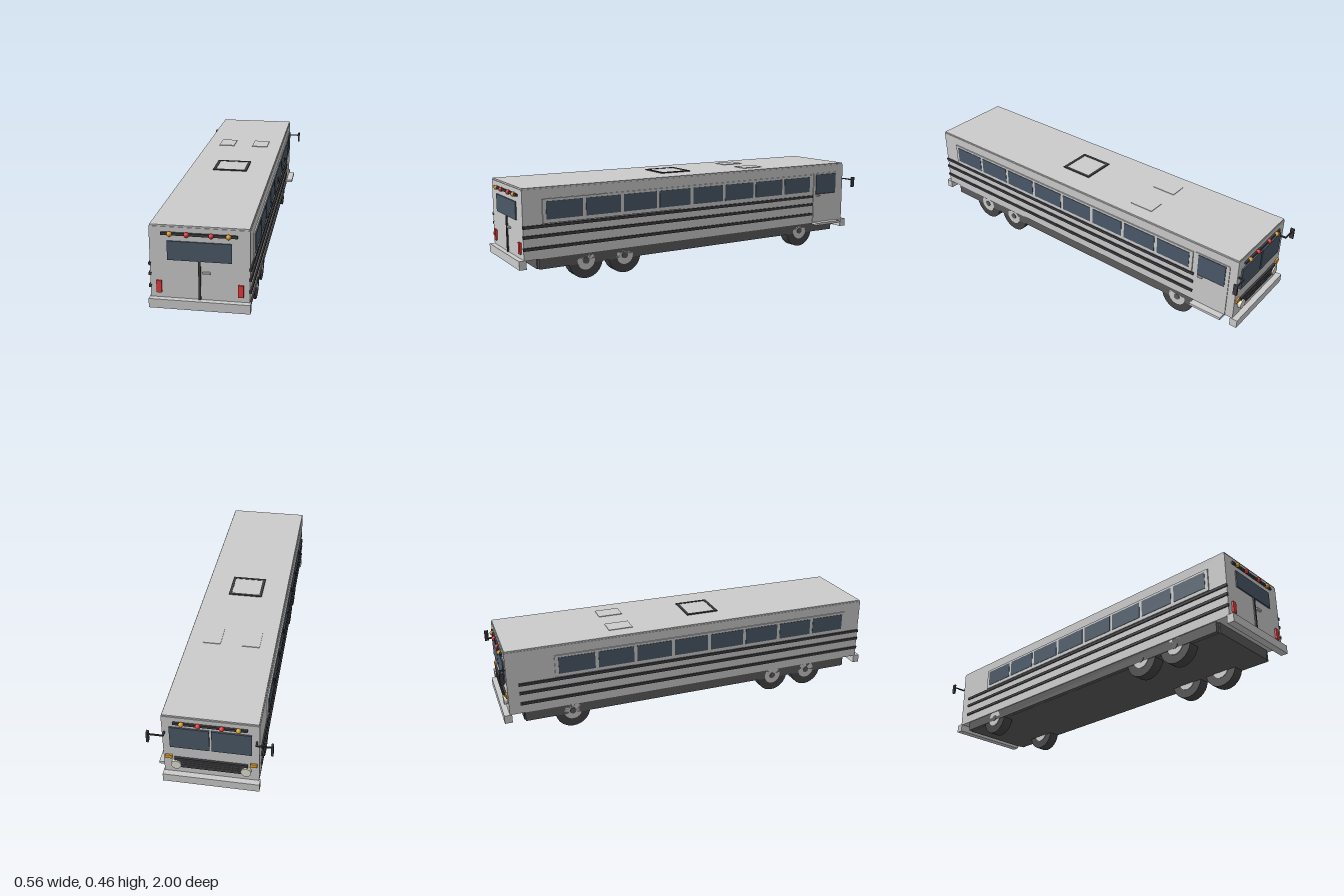
import * as THREE from 'three';

const mat = (color) => new THREE.MeshStandardMaterial({ color });

export function createModel() {
  const bus = new THREE.Group();
  const grey = mat(0xcccccc), trim = mat(0x3c3c40), under = mat(0x5c5c5c), tyre = mat(0x464648);
  const glass = mat(0x4a5968), red = mat(0xe83a3a), amber = mat(0xe0a030), lamp = mat(0xe0e0d0);

  function add(name, geometry, material, x = 0, y = 0, z = 0) {
    const mesh = new THREE.Mesh(geometry, material);
    mesh.name = name;
    mesh.position.set(x, y, z);
    bus.add(mesh);
    return mesh;
  }
  // Box given by its limits on each axis
  const box = (name, m, x0, x1, y0, y1, z0, z1) => add(name,
    new THREE.BoxGeometry(Math.abs(x1 - x0), y1 - y0, z1 - z0), m, (x0 + x1) / 2, (y0 + y1) / 2, (z0 + z1) / 2);

  // Shell, roof, chassis and bumpers
  box('body', grey, -0.215, 0.215, 0.125, 0.452, -0.965, 0.975);
  box('roof', grey, -0.212, 0.212, 0.452, 0.459, -0.962, 0.972);
  box('chassis', under, -0.19, 0.19, 0.073, 0.125, -0.895, 0.906);
  box('rearBumper', grey, -0.22, 0.22, 0.085, 0.127, 0.965, 1.0);
  box('frontBumper', grey, -0.22, 0.22, 0.085, 0.127, -0.993, -0.955);

  // Sides: skirts, stripes and window rows
  for (const s of [-1, 1]) {
    box('skirt', under, s * 0.185, s * 0.21, 0.074, 0.125, -0.89, 0.9);
    box('windowPanel', grey, s * 0.21, s * 0.221, 0.29, 0.405, -0.73, 0.88);
    for (const y of [0.177, 0.233, 0.279])
      box('sideStripe', trim, s * 0.21, s * 0.2215, y - 0.007, y + 0.007, s > 0 ? -0.74 : -0.91, 0.977);
    for (let i = 0; i < 8; i++) {
      const z = 0.772 - i * 0.199;
      box('sideWindow', glass, s * 0.215, s * 0.223, 0.308, 0.393, z - 0.091, z + 0.091);
    }
  }

  // Entrance door with step and handle
  box('door', grey, 0.21, 0.219, 0.128, 0.41, -0.925, -0.745);
  box('doorWindow', glass, 0.215, 0.223, 0.295, 0.403, -0.906, -0.761);
  box('doorSill', trim, 0.215, 0.222, 0.288, 0.295, -0.906, -0.761);
  box('doorHandle', grey, 0.215, 0.227, 0.278, 0.284, -0.79, -0.765);
  box('doorStep', grey, 0.2, 0.253, 0.115, 0.128, -0.92, -0.75);

  // Wheels: tyre, rim and dark hub centre
  const axle = (r, w, n) => new THREE.CylinderGeometry(r, r, w, n).rotateZ(Math.PI / 2);
  const tyreGeo = axle(0.0875, 0.058, 28), rimGeo = axle(0.045, 0.064, 24), hubGeo = axle(0.016, 0.069, 16);
  for (const z of [0.665, 0.458, -0.654]) for (const s of [-1, 1]) {
    add('tyre', tyreGeo, tyre, s * 0.178, 0.0875, z);
    add('rim', rimGeo, grey, s * 0.178, 0.0875, z);
    add('hub', hubGeo, under, s * 0.178, 0.0875, z);
  }

  // Marker lights along the top of both ends
  const bulb = new THREE.SphereGeometry(0.0115, 16, 12);
  for (const [z, d] of [[0.975, 1], [-0.965, -1]]) {
    box('lightBar', trim, -0.163, 0.163, 0.417, 0.429, z - 0.009, z + 0.009);
    for (const s of [-1, 1]) {
      add('amberMarker', bulb, amber, s * 0.125, 0.423, z + d * 0.009);
      add('redMarker', bulb, red, s * 0.052, 0.423, z + d * 0.009);
    }
  }

  // Rear end: window, door seam, handle, tail lights
  box('rearWindow', glass, -0.138, 0.138, 0.304, 0.39, 0.97, 0.981);
  box('rearDoorSeam', trim, -0.005, 0.005, 0.127, 0.304, 0.97, 0.982);
  box('rearDoorHandle', grey, 0.014, 0.047, 0.248, 0.257, 0.97, 0.985);
  for (const s of [-1, 1]) box('tailLight', red, s * 0.165, s * 0.188, 0.151, 0.206, 0.97, 0.984);

  // Driving end: windscreen, grille, headlights, indicators, mirrors
  box('grille', trim, -0.165, 0.165, 0.165, 0.22, -0.975, -0.96);
  for (const y of [0.18, 0.193, 0.206]) box('grilleSlat', under, -0.125, 0.125, y - 0.002, y + 0.002, -0.978, -0.96);
  const headlight = new THREE.CylinderGeometry(0.023, 0.023, 0.02, 24).rotateX(Math.PI / 2);
  for (const s of [-1, 1]) {
    box('windscreen', glass, s * 0.005, s * 0.182, 0.282, 0.398, -0.972, -0.96);
    add('headlight', headlight, lamp, s * 0.157, 0.183, -0.972);
    box('indicator', amber, s * 0.175, s * 0.206, 0.211, 0.23, -0.973, -0.96);
    box('mirrorBracket', trim, s * 0.2, s * 0.208, 0.36, 0.366, -0.993, -0.96);
    box('mirrorArm', trim, s * 0.2, s * 0.27, 0.36, 0.366, -0.993, -0.987);
    box('mirror', trim, s * 0.268, s * 0.278, 0.323, 0.378, -1.0, -0.98);
  }

  // Roof hatch with frame, and a pair of vents
  for (const s of [-1, 1]) {
    box('hatchFrame', trim, s * 0.073, s * 0.087, 0.457, 0.464, 0.004, 0.176);
    box('hatchFrame', trim, -0.073, 0.073, 0.457, 0.464, 0.083 + s * 0.079, 0.097 + s * 0.079);
    box('roofVent', grey, s * 0.052, s * 0.138, 0.457, 0.462, -0.433, -0.31);
  }
  box('hatchLid', grey, -0.073, 0.073, 0.457, 0.462, 0.018, 0.162);

  return bus;
}
